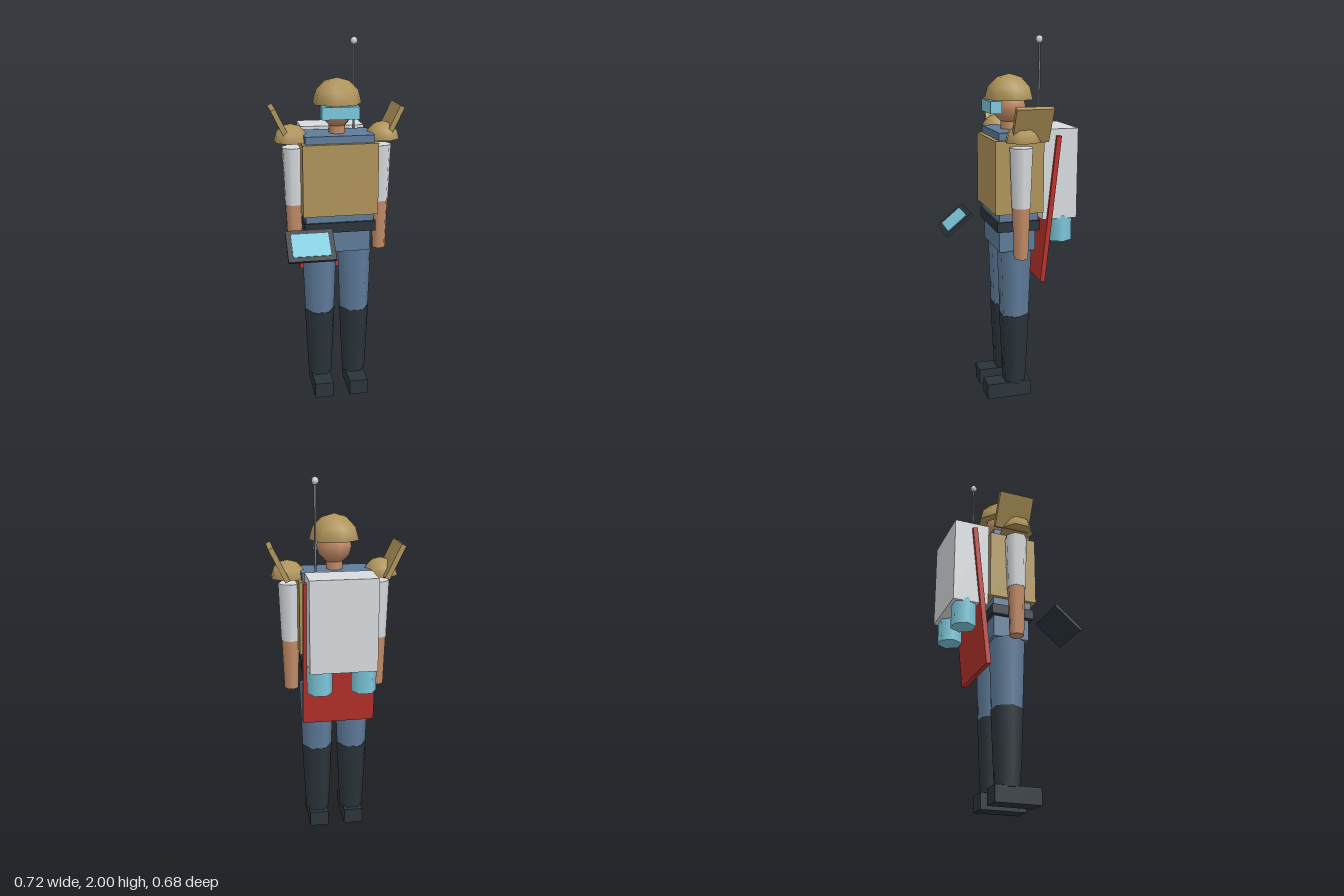
import * as THREE from 'three';

const mat = (name, color) => {
  const m = new THREE.MeshStandardMaterial({ color });
  m.name = name;
  return m;
};

export function createModel() {
  const tan = mat('tan armour', 0xb0945a);
  const blue = mat('blue cloth', 0x5f7c9b);
  const dark = mat('dark leather', 0x2b343b);
  const white = mat('pale grey', 0xd8dcdf);
  const skin = mat('skin', 0xc48c68);
  const teal = mat('teal glass', 0x7cc8dc);
  const red = mat('red cape', 0xb8322a);
  const steel = mat('steel', 0x7d8285);

  const model = new THREE.Group();
  model.name = 'fieldTrooper';
  const Z = -0.008; // body centre line

  const add = (name, geometry, material, x, y, z) => {
    const mesh = new THREE.Mesh(geometry, material);
    mesh.name = name;
    mesh.position.set(x, y, z);
    model.add(mesh);
    return mesh;
  };
  const box = (name, material, w, h, d, x, y, z) =>
    add(name, new THREE.BoxGeometry(w, h, d), material, x, y, z);
  // Upright tapered prism between two heights, with one corner towards +x
  const post = (name, material, rTop, rBottom, y0, y1, x, z, sides) =>
    add(name, new THREE.CylinderGeometry(rTop, rBottom, y1 - y0, sides, 1, false, Math.PI / 2),
      material, x, (y0 + y1) / 2, z);
  // Closed half sphere; its corner points along +x or -x
  const dome = (name, r, x, y, z, corner) => {
    const phi = corner > 0 ? Math.PI : 0;
    add(name, new THREE.SphereGeometry(r, 7, 3, phi, Math.PI * 2, 0, Math.PI / 2), tan, x, y, z);
    const base = add(name + 'Base', new THREE.CircleGeometry(r, 7, corner > 0 ? 0 : Math.PI), tan, x, y, z);
    base.rotation.x = Math.PI / 2;
  };

  // Body
  box('hips', blue, 0.335, 0.14, 0.2, 0, 0.935, Z);
  box('shirt', blue, 0.372, 0.51, 0.215, 0, 1.255, -0.01);
  box('belt', dark, 0.39, 0.055, 0.235, 0, 1.01, Z);
  box('vest', tan, 0.408, 0.39, 0.264, 0, 1.275, -0.01);

  // Head
  post('neck', skin, 0.045, 0.045, 1.49, 1.58, 0, Z, 7);
  add('head', new THREE.SphereGeometry(0.095, 7, 6, Math.PI), skin, 0, 1.635, Z);
  dome('helmet', 0.135, 0, 1.667, -0.01, 1);
  box('visor', teal, 0.2, 0.065, 0.06, 0, 1.632, 0.089);

  for (const side of [-1, 1]) {
    const label = side > 0 ? 'left' : 'right';

    // Leg
    post(label + 'Thigh', blue, 0.097, 0.083, 0.48, 0.87, side * 0.1, Z, 6);
    post(label + 'Boot', dark, 0.086, 0.067, 0.08, 0.49, side * 0.1, Z, 6);
    box(label + 'Foot', dark, 0.106, 0.087, 0.25, side * 0.1, 0.0435, 0.032);

    // Arm
    post(label + 'Sleeve', white, 0.062, 0.051, 1.125, 1.44, side * 0.24, Z, 7);
    post(label + 'Forearm', skin, 0.049, 0.039, 0.847, 1.13, side * 0.24, Z, 7);

    // Shoulder armour
    dome(label + 'ShoulderPad', 0.095, side * 0.25, 1.47, -0.01, -side);
    const fin = box(label + 'ShoulderFin', tan, 0.027, 0.195, 0.195, side * 0.304, 1.561, -0.046);
    fin.rotation.z = -side * 0.45;

    // Canister under the backpack
    post(label + 'Canister', teal, 0.068, 0.068, 0.905, 1.05, side * 0.117, -0.262, 6);
  }

  // Backpack and cape
  box('backpack', white, 0.353, 0.487, 0.195, 0, 1.278, -0.242);
  const cape = box('cape', red, 0.39, 0.8, 0.026, 0, 1.088, -0.187);
  cape.rotation.x = -0.106;

  // Antenna
  post('antenna', steel, 0.006, 0.006, 1.42, 1.97, 0.118, -0.138, 5);
  add('antennaTip', new THREE.SphereGeometry(0.021, 5, 4), white, 0.118, 1.979, -0.138);

  // Hand-held screen
  const tablet = new THREE.Group();
  tablet.name = 'tablet';
  const frame = new THREE.Mesh(new THREE.BoxGeometry(0.252, 0.016, 0.19), dark);
  frame.name = 'tabletFrame';
  const screen = new THREE.Mesh(new THREE.BoxGeometry(0.198, 0.004, 0.137), teal);
  screen.name = 'tabletScreen';
  screen.position.y = 0.009;
  tablet.add(frame, screen);
  tablet.position.set(-0.186, 0.97, 0.262);
  tablet.rotation.x = 0.69;
  model.add(tablet);

  return model;
}
